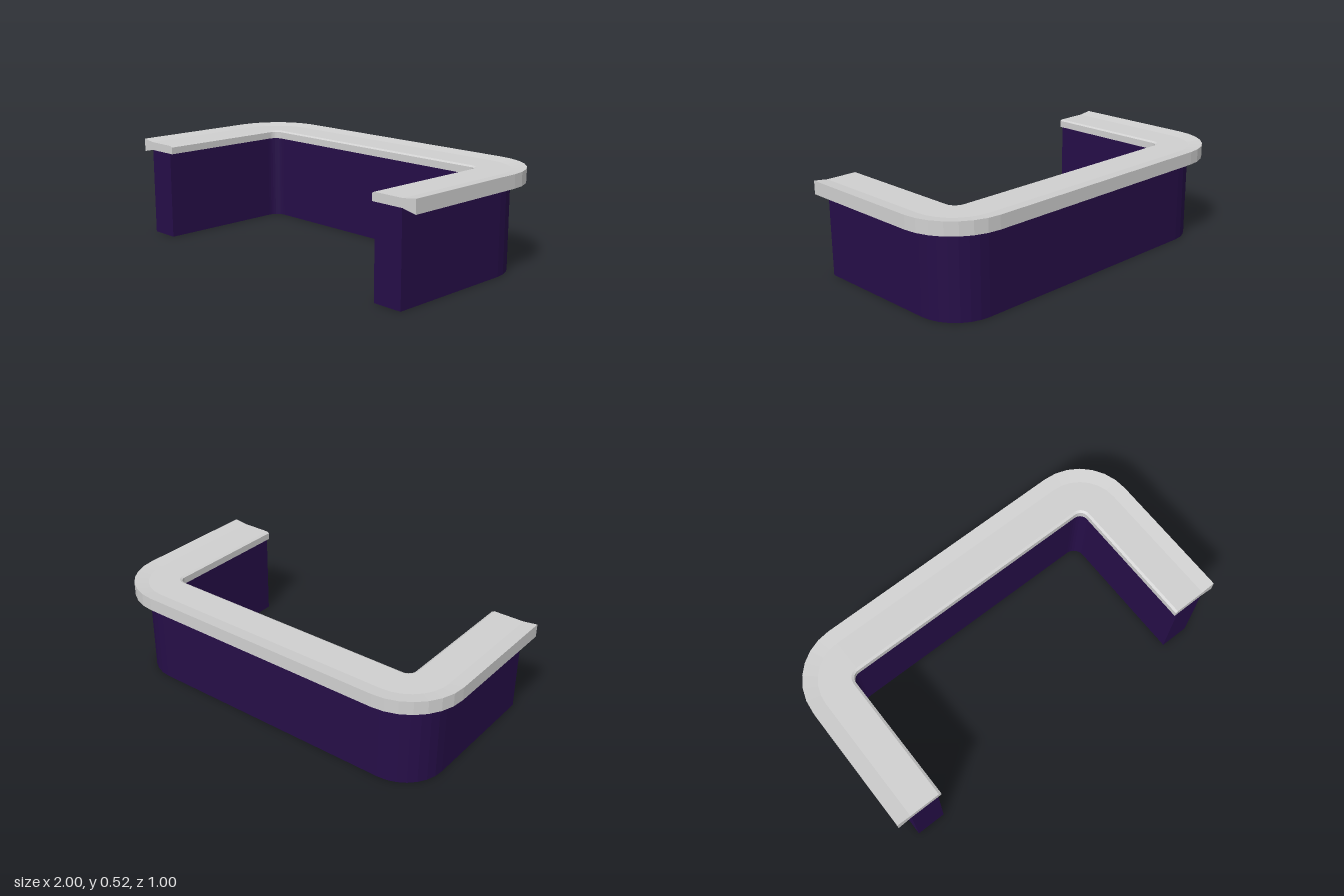
import * as THREE from 'three';

const CX = 0.7, CZ = -0.2, RADIUS = 0.3, FRONT = 0.5, STEPS = 7;

// Stations along the U: right end, two rounded back corners, left end.
function uStations() {
  const list = [{ x: CX, z: FRONT, a: 0 }];
  for (const side of [1, -1]) {
    for (let i = 0; i <= STEPS; i++) {
      const t = (i / STEPS) * Math.PI / 2;
      list.push({ x: side * CX, z: CZ, a: side > 0 ? t : Math.PI / 2 + t });
    }
  }
  list.push({ x: -CX, z: FRONT, a: Math.PI });
  return list;
}

// Sweeps a closed profile of [inset from outer edge, height] along the U.
function sweepU(profile) {
  const rings = uStations().map(({ x, z, a }) => profile.map(([inset, y]) =>
    new THREE.Vector3(x + (RADIUS - inset) * Math.cos(a), y, z - (RADIUS - inset) * Math.sin(a))));
  const points = [];
  for (let i = 0; i < rings.length - 1; i++) {
    for (let j = 0; j < profile.length; j++) {
      const k = (j + 1) % profile.length;
      const a = rings[i][j], b = rings[i][k], c = rings[i + 1][j], d = rings[i + 1][k];
      points.push(a, c, d, a, d, b);
    }
  }
  // Flat end faces
  const contour = profile.map(([inset, y]) => new THREE.Vector2(1 - inset, y));
  const last = rings[rings.length - 1];
  for (const [a, b, c] of THREE.ShapeUtils.triangulateShape(contour, [])) {
    points.push(rings[0][a], rings[0][b], rings[0][c], last[a], last[c], last[b]);
  }
  const geometry = new THREE.BufferGeometry().setFromPoints(points);
  geometry.computeVertexNormals();
  return geometry;
}

export function createModel() {
  const group = new THREE.Group();
  group.name = 'counter';
  const purple = new THREE.MeshStandardMaterial({ name: 'darkPurple', color: 0x260e48 });
  const grey = new THREE.MeshStandardMaterial({ name: 'lightGrey', color: 0xd0d0d0 });

  // Counter wall
  const wall = new THREE.Mesh(sweepU([
    [0.077, 0], [0.077, 0.466], [0.237, 0.466], [0.237, 0],
  ]), purple);
  wall.name = 'counterWall';

  // Worktop with a raised outer rim and a bevelled inner edge
  const top = new THREE.Mesh(sweepU([
    [0, 0.45], [0, 0.52], [0.075, 0.51], [0.242, 0.51],
    [0.255, 0.503], [0.255, 0.466], [0.075, 0.466],
  ]), grey);
  top.name = 'worktop';

  group.add(wall, top);
  return group;
}
